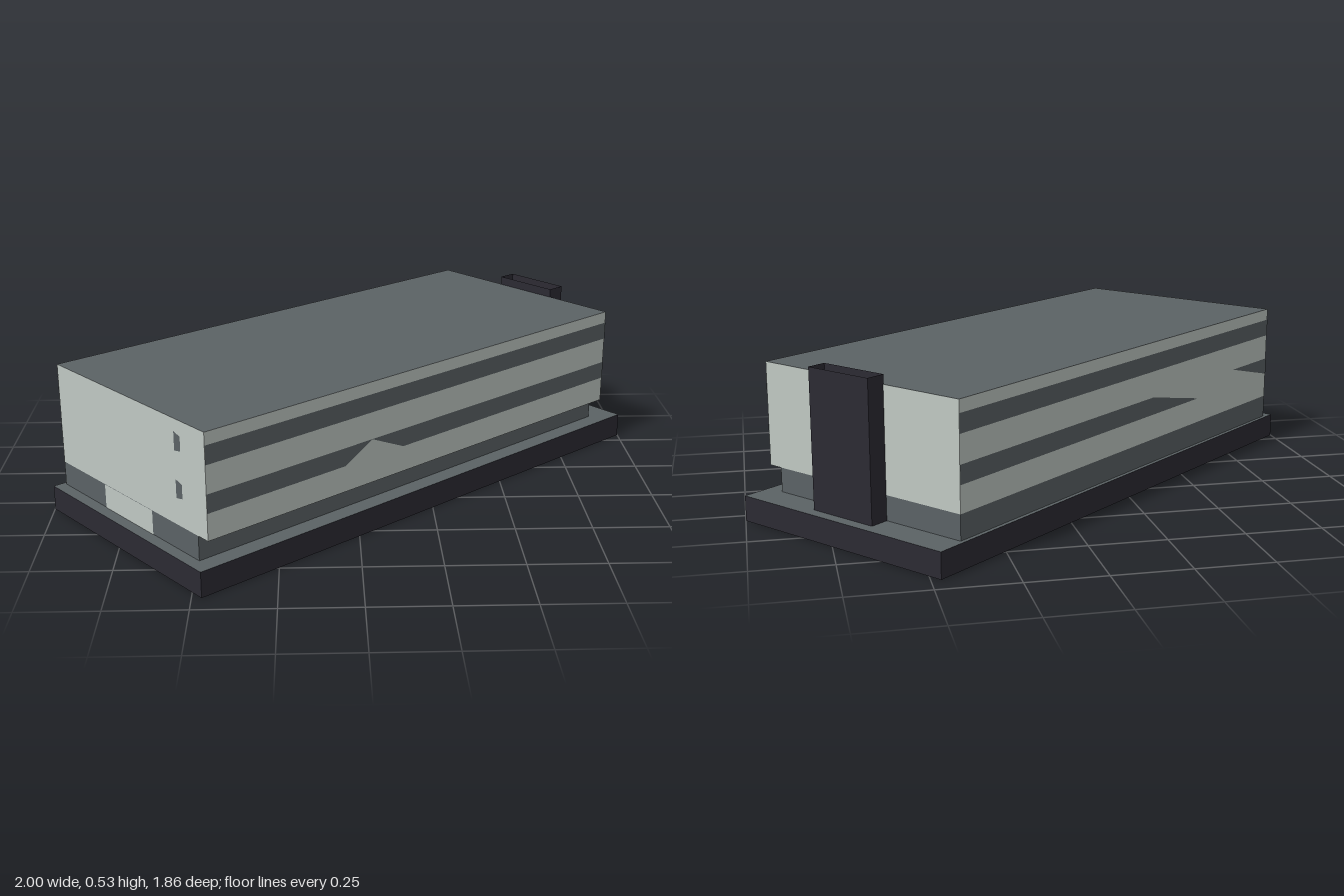
import * as THREE from 'three';

export function createModel() {
  const mat = (name, color) => {
    const m = new THREE.MeshStandardMaterial({ color, side: THREE.DoubleSide });
    m.name = name;
    return m;
  };
  const light = mat('paleConcrete', 0xc0c8c3);
  const slate = mat('slate', 0x5b6265);
  const dark = mat('darkStone', 0x2c2a33);

  const model = new THREE.Group();
  model.name = 'officeBlock';
  // The whole building stands diagonally on its plot
  const block = new THREE.Group();
  block.name = 'building';
  block.rotation.y = THREE.MathUtils.degToRad(40);
  model.add(block);

  const add = (name, geometry, material) => {
    const mesh = new THREE.Mesh(geometry, material);
    mesh.name = name;
    block.add(mesh);
    return mesh;
  };
  // Ring of four walls, open above and below
  const walls = (name, x0, x1, y0, y1, z0, z1, material) => {
    const w = x1 - x0, h = y1 - y0, d = z1 - z0;
    const ring = new THREE.Group();
    ring.name = name;
    ring.position.set((x0 + x1) / 2, (y0 + y1) / 2, (z0 + z1) / 2);
    for (let i = 0; i < 4; i++) {
      const a = i * Math.PI / 2;
      const wall = new THREE.Mesh(new THREE.PlaneGeometry(i % 2 ? d : w, h), material);
      wall.name = name + 'Wall';
      wall.rotation.y = a;
      wall.position.set(Math.sin(a) * w / 2, 0, Math.cos(a) * d / 2);
      ring.add(wall);
    }
    block.add(ring);
  };
  // Horizontal sheet facing up
  const slab = (name, x0, x1, y, z0, z1, material) => {
    const geometry = new THREE.PlaneGeometry(x1 - x0, z1 - z0).rotateX(-Math.PI / 2);
    add(name, geometry, material).position.set((x0 + x1) / 2, y, (z0 + z1) / 2);
  };

  const L = -0.919, R = 0.859, D = 0.398, F = 0.35, GAP = 0.0015;

  // Hollow plinth, open underneath
  walls('plinth', -0.959, 0.959, 0, 0.083, -0.411, 0.411, dark);
  slab('plinthTop', -0.959, 0.959, 0.083, -0.411, 0.411, slate);

  // Recessed ground floor under overhanging upper floors
  walls('groundFloor', L, R, 0.083, 0.163, -D, F, slate);
  walls('upperFloors', L, R, 0.163, 0.5, -D, D, light);
  slab('overhang', L, R, 0.163, F, D, light);
  slab('roof', L, R, 0.5, -D, D, slate);

  // Stair tower on the end wall, open at the top
  walls('stairTower', R - 0.002, R + 0.063, 0.083, 0.53, -0.108, 0.137, dark);

  // Flat wall panels, drawn in the plane of each facade
  const panel = (name, points, facade, material = slate) => {
    const shape = new THREE.Shape(points.map(([x, y]) => new THREE.Vector2(x, y)));
    const mesh = add(name, new THREE.ShapeGeometry(shape), material);
    if (facade === 'front') mesh.position.z = D + GAP;
    if (facade === 'back') {
      mesh.rotation.y = Math.PI;
      mesh.position.z = -D - GAP;
    }
    if (facade === 'end') {
      mesh.rotation.y = -Math.PI / 2;
      mesh.position.x = L - GAP;
    }
  };
  const rect = (x0, x1, y0, y1) => [[x0, y0], [x1, y0], [x1, y1], [x0, y1]];
  const lo = [0.25, 0.31], hi = [0.4, 0.46];

  // Front window bands, the lower one notched by a pale triangle
  panel('frontUpperWindows', rect(L, R, ...hi), 'front');
  panel('frontLowerWindowsLeft', [[L, lo[0]], [-0.395, lo[0]], [-0.282, lo[1]], [L, lo[1]]], 'front');
  panel('frontLowerWindowsRight', [[-0.147, lo[0]], [R, lo[0]], [R, lo[1]], [-0.282, lo[1]]], 'front');

  // Back window bands, the lower one cut on the slant
  panel('backUpperWindows', rect(-R, -L, ...hi), 'back');
  panel('backLowerWindows', [[-R, lo[0]], [0.425, lo[0]], [0.136, lo[1]], [-R, lo[1]]], 'back');
  panel('backCornerWindow', [[-L, lo[0]], [-L, lo[1]], [0.67, lo[1]]], 'back');

  // Entrance end: two slit windows and a pale doorway
  for (const [y0, y1] of [lo, hi]) {
    panel('slitWindow', [[0.249, y0], [0.28, y0 + 0.006], [0.28, y1 - 0.008], [0.249, y1]], 'end');
  }
  panel('entrance', rect(-0.15, 0.114, 0.083, 0.163), 'end', light);

  return model;
}
